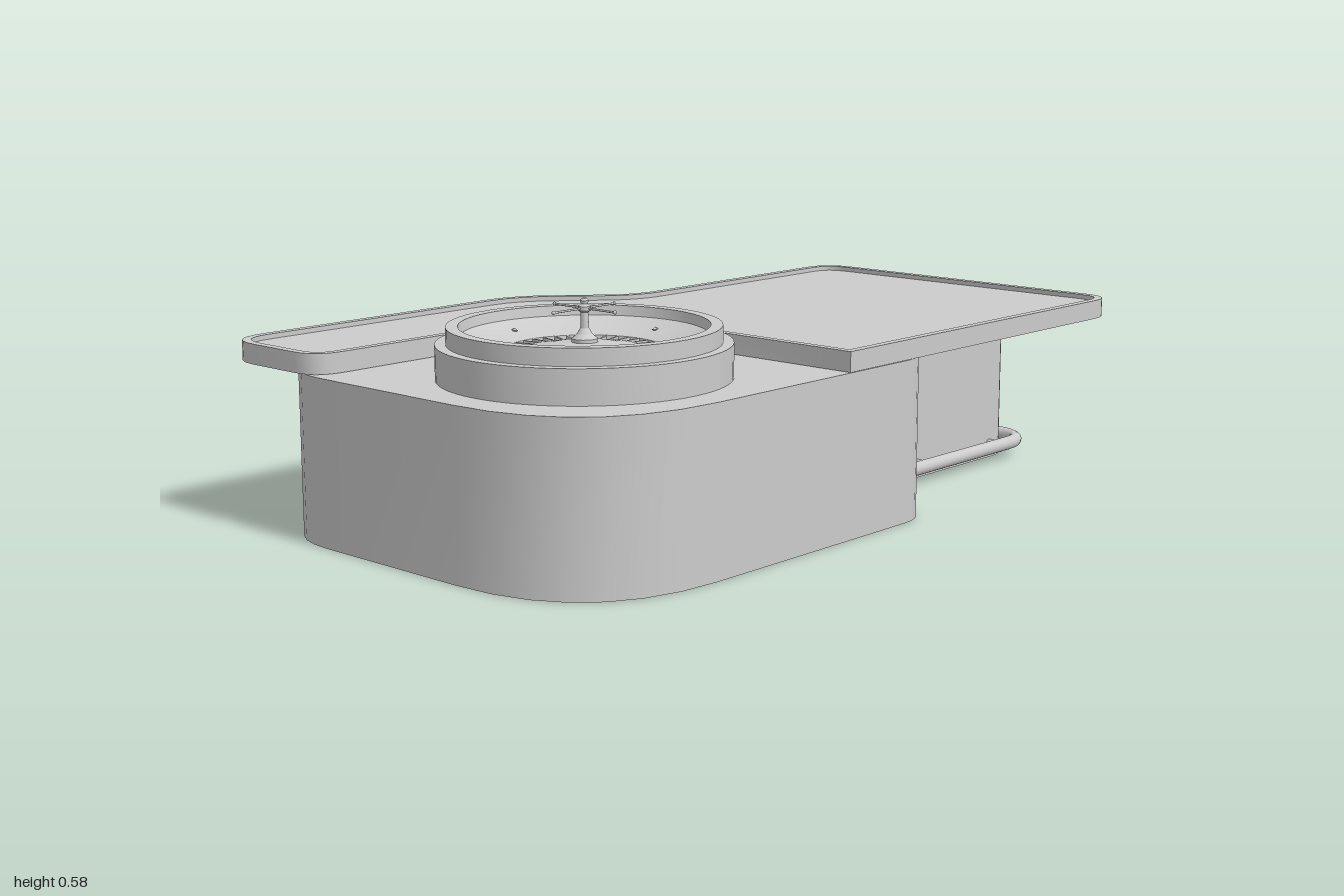
import * as THREE from 'three';
import { toCreasedNormals } from 'three/addons/utils/BufferGeometryUtils.js';

const grey = new THREE.MeshStandardMaterial({ color: 0xcccccc });
const shellGrey = new THREE.MeshStandardMaterial({ color: 0xcccccc, side: THREE.DoubleSide });

function add(parent, name, geometry, x = 0, y = 0, z = 0, material = grey) {
  const mesh = new THREE.Mesh(geometry, material);
  mesh.name = name;
  mesh.position.set(x, y, z);
  parent.add(mesh);
  return mesh;
}

// Rounded outline from [x, z, trim] corners, counter-clockwise from above; returns points in (x, -z)
function outline(corners) {
  const path = new THREE.Path();
  corners.forEach(([x, z, trim], i) => {
    const n = corners.length;
    const p = new THREE.Vector2(x, -z);
    const [prev, next] = [corners[(i + n - 1) % n], corners[(i + 1) % n]].map(([a, b]) =>
      new THREE.Vector2(a, -b).sub(p).normalize().multiplyScalar(trim).add(p));
    if (i === 0) path.moveTo(prev.x, prev.y);
    else path.lineTo(prev.x, prev.y);
    if (trim) path.quadraticCurveTo(p.x, p.y, next.x, next.y);
  });
  path.closePath();
  const points = path.getPoints(7);
  return points.filter((p, i) => p.distanceTo(points[(i + 1) % points.length]) > 1e-4);
}

// Mitred inward offset of a counter-clockwise outline
function inset(points, d) {
  const n = points.length;
  const normal = (a, b) => new THREE.Vector2(a.y - b.y, b.x - a.x).normalize();
  return points.map((p, i) => {
    const n1 = normal(points[(i + n - 1) % n], p);
    const n2 = normal(p, points[(i + 1) % n]);
    const k = d / (1 + n1.dot(n2));
    return n1.add(n2).multiplyScalar(k).add(p);
  });
}

function slab(shape, depth) {
  const geo = new THREE.ExtrudeGeometry(shape, { depth, bevelEnabled: false });
  return toCreasedNormals(geo.rotateX(-Math.PI / 2), 0.5);
}

// Hollow cabinet, open underneath
function createCabinet() {
  const cabinet = new THREE.Group();
  cabinet.name = 'cabinet';
  const height = 0.399;
  const points = outline([
    [-1, 0.6, 0.4], [0.18, 0.6, 0.1], [0.21, 0.34, 0.1], [0.9, 0.34, 0.07],
    [0.9, -0.18, 0.07], [0.21, -0.18, 0.1], [0.18, -0.445, 0.1], [-1, -0.445, 0.2],
  ]);
  const position = [];
  points.forEach((a, i) => {
    const b = points[(i + 1) % points.length];
    position.push(a.x, 0, -a.y, b.x, 0, -b.y, b.x, height, -b.y);
    position.push(a.x, 0, -a.y, b.x, height, -b.y, a.x, height, -a.y);
  });
  const walls = new THREE.BufferGeometry();
  walls.setAttribute('position', new THREE.Float32BufferAttribute(position, 3));
  add(cabinet, 'cabinetWalls', toCreasedNormals(walls, 0.7), 0, 0, 0, shellGrey);
  const top = new THREE.ShapeGeometry(new THREE.Shape(points)).rotateX(-Math.PI / 2);
  add(cabinet, 'cabinetTop', top, 0, height, 0, shellGrey);
  return cabinet;
}

// Playing surface with a raised lip
function createTabletop() {
  const tabletop = new THREE.Group();
  tabletop.name = 'tabletop';
  const edge = outline([
    [-0.14, 0.6, 0], [1, 0.6, 0.09], [1, -0.385, 0.09], [0.17, -0.385, 0.08],
    [-0.07, -0.608, 0.1], [-1, -0.608, 0.11], [-1, -0.267, 0.08], [-0.48, -0.267, 0],
    [-0.31, -0.205, 0], [-0.18, -0.09, 0], [-0.14, 0.07, 0],
  ]);
  const inner = inset(edge, 0.021);
  const rim = new THREE.Shape(edge);
  rim.holes.push(new THREE.Path(inner));
  add(tabletop, 'tableRim', slab(rim, 0.049), 0, 0.4, 0);
  add(tabletop, 'playingSurface', slab(new THREE.Shape(inner), 0.037), 0, 0.4, 0);
  return tabletop;
}

// Wheel: stepped bowl, pocket ring, deflectors and turret
function createWheel() {
  const wheel = new THREE.Group();
  wheel.name = 'wheel';
  wheel.position.set(-0.58, 0, 0.178);
  const lathe = (profile, segments) => toCreasedNormals(
    new THREE.LatheGeometry(profile.map(([r, y]) => new THREE.Vector2(r, y)), segments), 0.4);

  add(wheel, 'bowl', lathe([
    [0, 0.395], [0.34, 0.395], [0.34, 0.48], [0.315, 0.48], [0.315, 0.52], [0.287, 0.52],
    [0.283, 0.496], [0.25, 0.482], [0.18, 0.465], [0.178, 0.452], [0.14, 0.452],
    [0.138, 0.464], [0.08, 0.474], [0.03, 0.48], [0, 0.48],
  ], 64));
  add(wheel, 'turret', lathe([
    [0.03, 0.478], [0.03, 0.488], [0.018, 0.498], [0.01, 0.512], [0.009, 0.548],
    [0.015, 0.552], [0.015, 0.562], [0.008, 0.567], [0.01, 0.575], [0.006, 0.58], [0, 0.58],
  ], 20));

  for (let i = 0; i < 37; i++) {
    const a = (i / 37) * Math.PI * 2;
    const divider = add(wheel, 'pocketDivider', new THREE.BoxGeometry(0.038, 0.013, 0.005),
      Math.cos(a) * 0.159, 0.4585, Math.sin(a) * 0.159);
    divider.rotation.y = -a;
  }
  for (let i = 0; i < 8; i++) {
    const a = (i / 8) * Math.PI * 2;
    const deflector = add(wheel, 'deflector', new THREE.OctahedronGeometry(0.01),
      Math.cos(a) * 0.233, 0.48, Math.sin(a) * 0.233);
    deflector.rotation.y = -a;
    deflector.scale.set(1.1, 0.6, 0.65);
  }
  for (let i = 0; i < 4; i++) {
    const arm = new THREE.Group();
    arm.name = 'handle';
    arm.position.y = 0.557;
    arm.rotation.y = (i * Math.PI) / 2;
    const rod = new THREE.CylinderGeometry(0.0025, 0.0025, 0.095, 8).rotateZ(Math.PI / 2);
    add(arm, 'handleRod', rod, 0.05, 0, 0);
    add(arm, 'handleKnob', new THREE.SphereGeometry(0.0045, 10, 8), 0.097, 0, 0);
    wheel.add(arm);
  }
  return wheel;
}

// Foot rail wrapped around the narrow end, on short brackets
function createFootRail() {
  const rail = new THREE.Group();
  rail.name = 'footRail';
  const [y, xStart, xEnd, zFront, zBack, bend] = [0.042, 0.295, 0.932, 0.385, -0.215, 0.1];
  const v = (x, z) => new THREE.Vector3(x, y, z);
  const path = new THREE.CurvePath();
  path.add(new THREE.LineCurve3(v(xStart, zFront), v(xEnd - bend, zFront)));
  path.add(new THREE.QuadraticBezierCurve3(
    v(xEnd - bend, zFront), v(xEnd, zFront), v(xEnd, zFront - bend)));
  path.add(new THREE.LineCurve3(v(xEnd, zFront - bend), v(xEnd, zBack + bend)));
  path.add(new THREE.QuadraticBezierCurve3(
    v(xEnd, zBack + bend), v(xEnd, zBack), v(xEnd - bend, zBack)));
  path.add(new THREE.LineCurve3(v(xEnd - bend, zBack), v(xStart, zBack)));
  add(rail, 'railTube', new THREE.TubeGeometry(path, 80, 0.018, 14));
  for (const z of [zFront, zBack]) {
    const cap = add(rail, 'railCap', new THREE.CircleGeometry(0.018, 14), xStart, y, z);
    cap.rotation.y = -Math.PI / 2;
  }
  const bracket = (x, z, alongX) => {
    const geo = new THREE.CylinderGeometry(0.009, 0.009, 0.055, 10);
    if (alongX) geo.rotateZ(Math.PI / 2);
    else geo.rotateX(Math.PI / 2);
    add(rail, 'railBracket', geo, x, y, z);
  };
  for (const x of [0.48, 0.81]) {
    bracket(x, 0.36, false);
    bracket(x, -0.19, false);
  }
  for (const z of [0.24, -0.08]) bracket(0.91, z, true);
  return rail;
}

export function createModel() {
  const model = new THREE.Group();
  model.name = 'gamingTable';
  model.add(createCabinet(), createTabletop(), createWheel(), createFootRail());
  return model;
}
